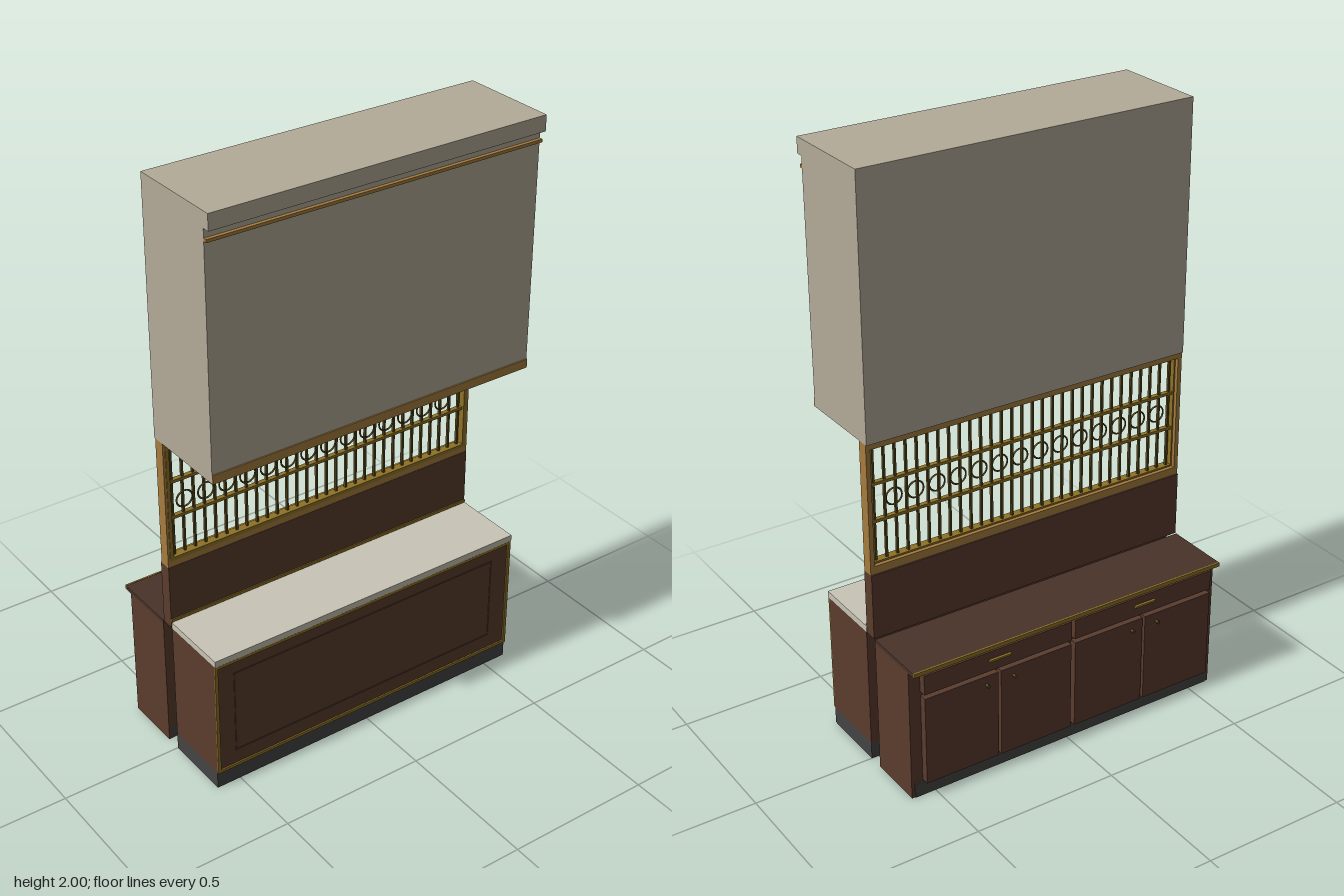
import * as THREE from 'three';

const mat = (color) => new THREE.MeshStandardMaterial({ color });
const cream = mat(0xb3ab99), stone = mat(0xc9c4b6), wood = mat(0x5a3c2d), darkWood = mat(0x4a332a);
const oak = mat(0xa67c3e), brass = mat(0x8f7226), bronze = mat(0x54461c), plinth = mat(0x454443);

const W = 0.585; // half width of the whole unit

// Box given by its limits on each axis
function box(parent, name, m, x0, x1, y0, y1, z0, z1) {
  const mesh = new THREE.Mesh(new THREE.BoxGeometry(x1 - x0, y1 - y0, z1 - z0), m);
  mesh.position.set((x0 + x1) / 2, (y0 + y1) / 2, (z0 + z1) / 2);
  mesh.name = name;
  parent.add(mesh);
  return mesh;
}

// Rectangular border made of four strips of width t
function border(parent, name, m, x0, x1, y0, y1, z0, z1, t) {
  box(parent, name + 'Bottom', m, x0, x1, y0, y0 + t, z0, z1);
  box(parent, name + 'Top', m, x0, x1, y1 - t, y1, z0, z1);
  box(parent, name + 'Right', m, x0, x0 + t, y0 + t, y1 - t, z0, z1);
  box(parent, name + 'Left', m, x1 - t, x1, y0 + t, y1 - t, z0, z1);
}

function section(root, name) {
  const g = new THREE.Group();
  g.name = name;
  root.add(g);
  return g;
}

export function createModel() {
  const root = new THREE.Group();
  root.name = 'serviceCounter';

  // Hanging bulkhead with cornice and trims
  const top = section(root, 'bulkhead');
  box(top, 'bulkheadBody', cream, -W, W, 1.15, 2, -0.048, 0.266);
  box(top, 'cornice', cream, -W, W, 1.948, 2, 0.266, 0.29);
  box(top, 'corniceTrim', oak, -W, W, 1.91, 1.92, 0.266, 0.278);
  box(top, 'lowerTrim', oak, -W, W, 1.15, 1.18, 0.266, 0.27);

  // Screen frame
  const screen = section(root, 'screen');
  box(screen, 'frameBottom', oak, -W, W, 0.705, 0.733, -0.043, -0.004);
  box(screen, 'frameTop', oak, -W, W, 1.13, 1.15, -0.043, -0.004);
  for (const s of [-1, 1])
    box(screen, 'framePost', oak, s * 0.5775 - 0.0075, s * 0.5775 + 0.0075, 0.733, 1.13, -0.043, -0.004);
  border(screen, 'frameBead', brass, -0.577, 0.577, 0.727, 1.135, -0.03, -0.002, 0.012);

  // Screen lattice: rails, bars and rings
  for (const y of [0.875, 1.002])
    box(screen, 'rail', brass, -0.57, 0.57, y - 0.005, y + 0.005, -0.026, -0.01);
  const pitch = 0.0381;
  for (let i = 0; i < 30; i++) {
    const x = -0.553 + i * pitch;
    box(screen, 'bar', bronze, x - 0.0035, x + 0.0035, 0.735, 1.13, -0.023, -0.014);
  }
  const ringGeo = new THREE.TorusGeometry(0.028, 0.003, 6, 32);
  for (let i = 0; i < 14; i++) {
    const ring = new THREE.Mesh(ringGeo, bronze);
    ring.position.set(-0.515 + i * 2 * pitch, 0.932, -0.008);
    ring.name = 'ring';
    screen.add(ring);
  }

  // Low wall between the counters
  const wall = section(root, 'lowWall');
  box(wall, 'wallPanel', wood, -W, W, 0.48, 0.705, -0.047, -0.003);
  box(wall, 'wallTrim', brass, -W, W, 0.503, 0.513, -0.003, 0.001);

  // Front counter
  const front = section(root, 'frontCounter');
  box(front, 'frontPlinth', plinth, -W, W, 0, 0.06, 0, 0.237);
  box(front, 'frontBody', wood, -W, W, 0.06, 0.48, 0, 0.239);
  box(front, 'worktop', stone, -W, W, 0.48, 0.502, 0, 0.246);
  border(front, 'panelEdging', brass, -W, W, 0.06, 0.478, 0.239, 0.244, 0.011);
  border(front, 'panelMoulding', darkWood, -0.515, 0.51, 0.12, 0.425, 0.239, 0.241, 0.005);

  // Back counter carcass
  const back = section(root, 'backCounter');
  box(back, 'carcass', wood, -0.573, 0.573, 0.05, 0.466, -0.248, -0.053);
  for (const s of [-1, 1])
    box(back, 'sidePanel', wood, s * 0.579 - 0.006, s * 0.579 + 0.006, 0, 0.466, -0.25, -0.052);
  box(back, 'kickBoard', plinth, -0.573, 0.573, 0, 0.05, -0.253, -0.235);
  box(back, 'frontKickBoard', plinth, -0.573, 0.573, 0, 0.05, -0.068, -0.053);
  box(back, 'backTop', darkWood, -W, W, 0.466, 0.48, -0.278, -0.052);
  box(back, 'topEdging', brass, -W, W, 0.467, 0.481, -0.284, -0.278);

  // Doors, drawers and their handles, in two bays
  const knobGeo = new THREE.CylinderGeometry(0.006, 0.004, 0.016, 12);
  knobGeo.rotateX(-Math.PI / 2);
  for (const cx of [-0.285, 0.272]) {
    box(back, 'drawer', wood, cx - 0.272, cx + 0.272, 0.385, 0.455, -0.274, -0.248);
    box(back, 'drawerPull', brass, cx - 0.04, cx + 0.04, 0.421, 0.428, -0.283, -0.274);
    for (const s of [-1, 1]) {
      const dx = cx + s * 0.138;
      box(back, 'door', wood, dx - 0.133, dx + 0.133, 0.055, 0.37, -0.274, -0.248);
      const knob = new THREE.Mesh(knobGeo, bronze);
      knob.position.set(cx + s * 0.05, 0.34, -0.282);
      knob.name = 'knob';
      back.add(knob);
    }
  }
  return root;
}
